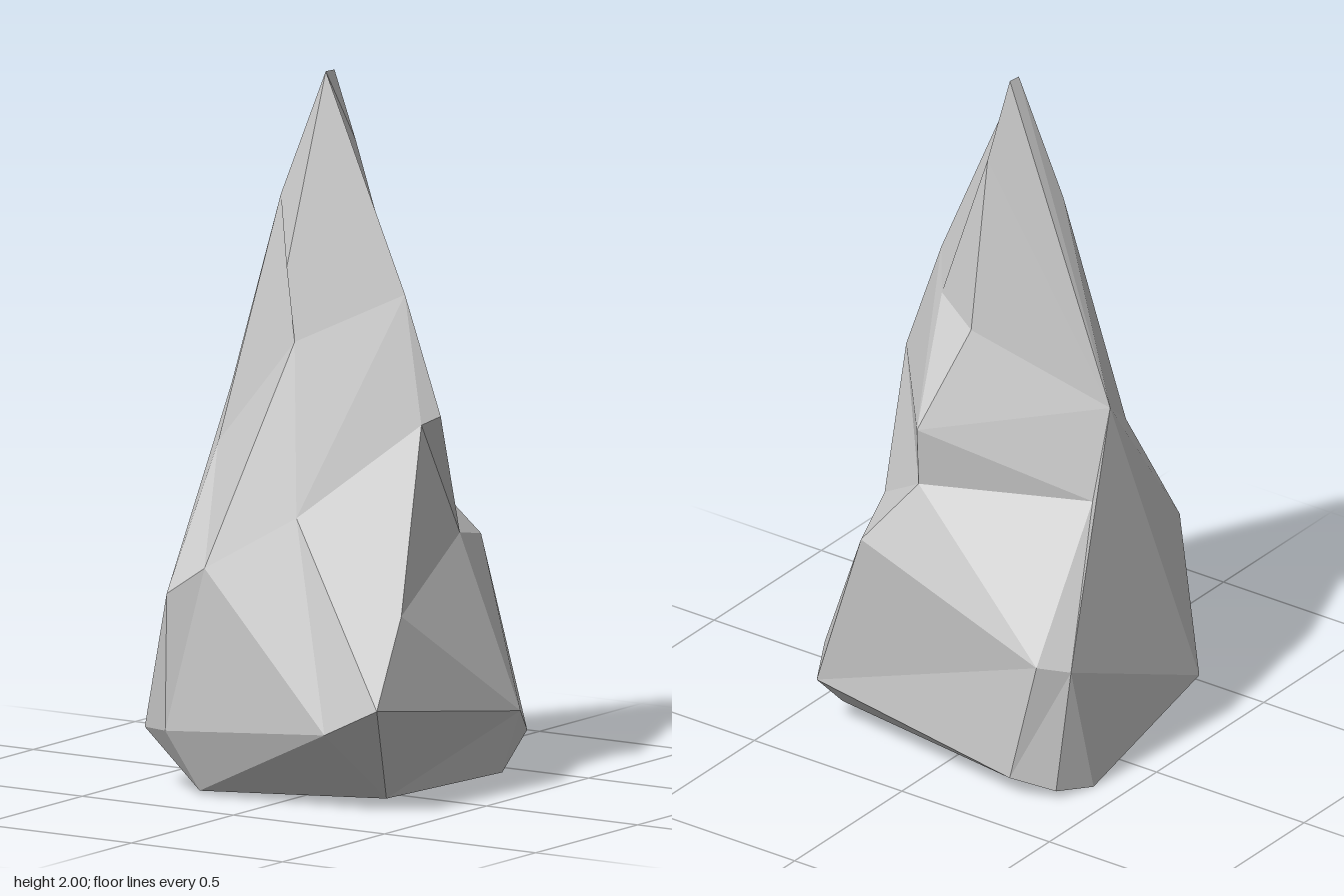
import * as THREE from 'three';

// Corners of the faceted rock, shared between neighbouring cross-sections
const P = {
  // underside
  u1: [-0.25, 0.01, 0.295], u2: [0.27, 0.02, 0.15], u3: [0.39, 0.045, -0.24],
  u4: [-0.26, 0.06, -0.355], u5: [-0.37, 0.025, -0.29], u6: [-0.41, 0, -0.17],
  // widest part of the base
  w1: [0.23, 0.23, 0.395], w2: [0.39, 0.31, 0.375], w3: [0.44, 0.22, -0.255],
  w4: [0.405, 0.15, -0.34], w5: [-0.34, 0.42, -0.34], w6: [-0.41, 0.4, -0.275],
  w7: [-0.445, 0.165, 0.275], w8: [-0.32, 0.18, 0.36],
  // middle
  m1: [-0.18, 0.65, 0.375], m2: [0.06, 0.8, 0.28], m3: [0.37, 0.55, 0.225],
  m4: [0.28, 0.71, -0.195], m5: [0.215, 0.67, -0.395], m6: [-0.295, 0.57, 0.39],
  // shoulders and the notch at the back
  s1: [-0.01, 1.27, 0.185], s2: [0.315, 1.05, 0.045], s3: [0.345, 1.07, -0.005],
  s4: [0.085, 0.845, -0.305], s5: [-0.345, 0.83, -0.085], s6: [-0.35, 1.09, -0.01],
  s7: [-0.28, 0.96, 0.16], s8: [0.08, 1.02, -0.32],
  // spire
  t1: [-0.05, 1.47, 0.165], t2: [0.235, 1.4, 0.007], t3: [0.155, 1.33, -0.1],
  t4: [0.005, 1.29, -0.17], t5: [-0.14, 1.65, 0.06], t6: [0, 1.79, -0.1],
  a1: [-0.015, 2, 0.025], a2: [-0.01, 2, -0.01],
};

// Nine-sided cross-sections from bottom to top, each running front, +x, back, -x;
// a repeated corner lets facets merge
const rings = [
  'u1 u2 u2 u3 u3 u4 u5 u6 u1',
  'w1 w2 w2 w3 w4 w5 w6 w7 w8',
  'm1 m2 m3 m4 m5 w5 w6 w7 m6',
  's1 m2 s2 s3 s4 s4 s5 s6 s7',
  't1 t2 t2 s8 s8 s8 s6 s6 t5',
  'a1 a1 t3 t3 t4 t4 s6 s6 a1',
  'a1 a1 t6 t6 t6 t6 t6 a2 a1',
].map((row) => row.split(' ').map((name) => P[name]));

function distance(a, b) {
  return Math.hypot(a[0] - b[0], a[1] - b[1], a[2] - b[2]);
}

function loftRock() {
  const positions = [];
  const tri = (a, b, c) => {
    if (a !== b && b !== c && c !== a) positions.push(...a, ...b, ...c);
  };
  // Sides: split each quad along its shorter diagonal
  for (let r = 0; r < rings.length - 1; r++) {
    const low = rings[r], high = rings[r + 1], n = low.length;
    for (let k = 0; k < n; k++) {
      const j = (k + 1) % n;
      const a = low[k], b = low[j], c = high[j], d = high[k];
      if (distance(a, c) < distance(b, d)) {
        tri(a, b, c);
        tri(a, c, d);
      } else {
        tri(a, b, d);
        tri(b, c, d);
      }
    }
  }
  // Underside and tip
  const bottom = rings[0], top = rings[rings.length - 1];
  for (let k = 1; k < bottom.length - 1; k++) {
    tri(bottom[0], bottom[k + 1], bottom[k]);
    tri(top[0], top[k], top[k + 1]);
  }
  const geometry = new THREE.BufferGeometry();
  geometry.setAttribute('position', new THREE.Float32BufferAttribute(positions, 3));
  geometry.computeVertexNormals();
  return geometry;
}

export function createModel() {
  const group = new THREE.Group();
  group.name = 'rockSpire';
  const material = new THREE.MeshStandardMaterial({ color: 0xcccccc, flatShading: true });
  const rock = new THREE.Mesh(loftRock(), material);
  rock.name = 'rock';
  group.add(rock);
  return group;
}
